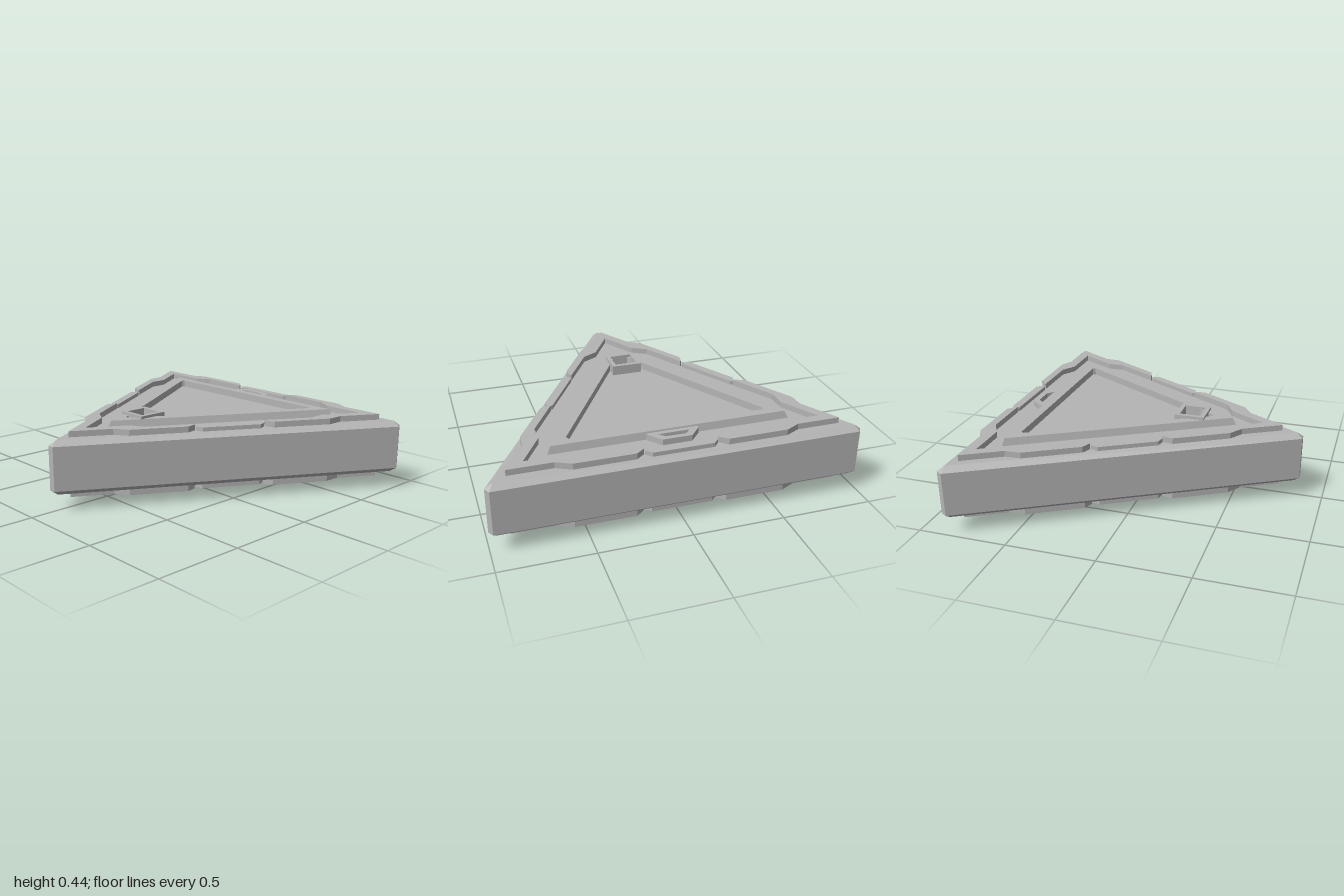
import * as THREE from 'three';

const CENTRE_X = 0.277; // centroid of the triangle
const MID_Y = 0.238;    // mid plane of the body
const DECK = 0.151;     // deck height above the mid plane

const grey = new THREE.MeshStandardMaterial({ color: 0xb4b4b4, flatShading: true });
grey.name = 'stone grey';

// Point on edge k: n = distance from the centroid, t = distance along the edge
function edgePoint(k, n, t) {
  const a = k * Math.PI * 2 / 3;
  return [n * Math.cos(a) - t * Math.sin(a), n * Math.sin(a) + t * Math.cos(a)];
}

// Repeat a run of [n, t] points on all three edges
function around(run) {
  return [0, 1, 2].flatMap(k => run.map(([n, t]) => edgePoint(k, n, t)));
}

const toVectors = pts => pts.map(([x, y]) => new THREE.Vector2(x, y));

// Flat plate with an optional hole, standing between heights y0 and y1
function plate(name, pts, y0, y1, hole, bevel) {
  const shape = new THREE.Shape(toVectors(pts));
  if (hole) shape.holes.push(new THREE.Path(toVectors(hole)));
  const rise = bevel ? bevel.rise : 0;
  const geo = new THREE.ExtrudeGeometry(shape, {
    depth: y1 - y0 - 2 * rise,
    bevelEnabled: !!bevel,
    bevelThickness: rise,
    bevelSize: bevel ? bevel.inset : 0,
    bevelOffset: bevel ? -bevel.inset : 0,
    bevelSegments: 1,
  });
  geo.translate(0, 0, y0 + rise);
  geo.rotateX(-Math.PI / 2);
  const mesh = new THREE.Mesh(geo, grey);
  mesh.name = name;
  return mesh;
}

const rectangle = (x0, x1, z) => [[x0, -z], [x1, -z], [x1, z], [x0, z]];

// Raised details of one face; they stand on the deck
function makeFace(name, bossTop) {
  const face = new THREE.Group();
  face.name = name;
  const base = DECK - 0.01;

  // Stepped rails wrapping each corner, and a lower block between them
  const outer = [[0.553, 0.245], [0.553, 0.57], [0.513, 0.65], [0.513, 0.889]];
  const inner = [[0.458, 0.793], [0.458, 0.56], [0.508, 0.475], [0.508, 0.2], [0.517, 0.2]];
  const block = [[0.553, -0.165], [0.553, 0.165], [0.52, 0.195], [0.505, 0.18],
    [0.505, -0.18], [0.52, -0.195]];
  for (let k = 0; k < 3; k++) {
    const near = list => list.map(([n, t]) => edgePoint(k, n, t));
    const far = list => list.map(([n, t]) => edgePoint(k + 1, n, -t)).reverse();
    const rail = [...near(outer), ...far(outer.slice(0, 3)),
      ...far(inner.slice(1)), ...near(inner)];
    face.add(plate('cornerRail', rail, base, 0.184));
    face.add(plate('middleBlock', near(block), base, 0.174));
  }

  // Triangular frame with a sloping outer side around the sunken panel
  const frameTop = 0.192;
  face.add(plate('panelFrame', around([[0.37, 0.37 * Math.sqrt(3)]]), base, frameTop,
    around([[0.32, 0.535]].flatMap(([n, t]) => [[n, -t], [n, t]]))));
  const skirt = new THREE.Mesh(
    new THREE.CylinderGeometry(0.74, 0.766, frameTop - base, 3, 1, true, -Math.PI / 2), grey);
  skirt.position.y = (frameTop + base) / 2;
  skirt.name = 'frameSlope';
  face.add(skirt);

  // Slotted latch on the straight edge
  face.add(plate('latch', [[0.375, -0.14], [0.39, -0.14], [0.46, -0.08],
    [0.46, 0.08], [0.39, 0.14], [0.375, 0.14]], base, 0.184,
  [[0.4, -0.085], [0.432, -0.055], [0.432, 0.055], [0.4, 0.085]]));

  // Hollow square socket near the point
  face.add(plate('squareSocket', rectangle(-0.592, -0.422, 0.087), base, bossTop,
    rectangle(-0.567, -0.447, 0.063)));
  return face;
}

export function createModel() {
  const model = new THREE.Group();
  model.name = 'triangularTablet';
  const core = new THREE.Group();
  core.name = 'tablet';
  core.position.set(CENTRE_X, MID_Y, 0);

  // Thick triangular body with clipped corners and chamfered rims
  core.add(plate('body', around([[0.588, -0.98], [0.588, 0.98]]), -DECK, DECK, null,
    { rise: 0.028, inset: 0.035 }));

  core.add(makeFace('topFace', 0.207));
  const bottom = makeFace('bottomFace', MID_Y);
  bottom.rotation.x = Math.PI;
  core.add(bottom);

  model.add(core);
  return model;
}
